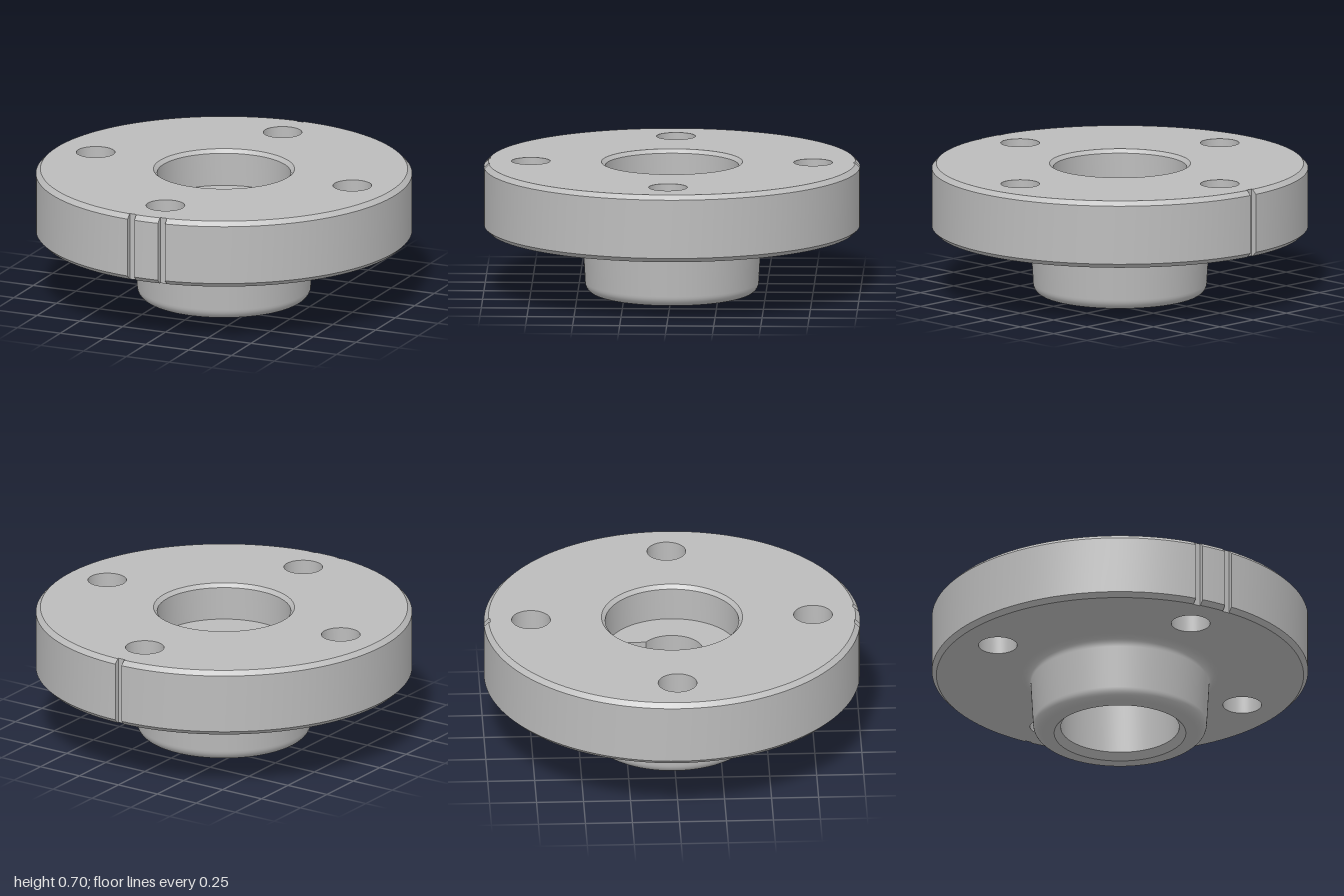
import * as THREE from 'three';
import { toCreasedNormals } from 'three/addons/utils/BufferGeometryUtils.js';

const TOP = 0.703, UNDER = 0.34;        // flange faces
const WEB_TOP = 0.505, WEB_UNDER = 0.33; // web inside the hub
const SEG = 128, V = (x, y) => new THREE.Vector2(x, y);

// Points on a circular arc, plan coordinates (x, -z), end included
function arc(cx, cy, r, a0, a1, n) {
  return Array.from({ length: n + 1 }, (_, i) => {
    const a = a0 + (a1 - a0) * i / n;
    return V(cx + r * Math.cos(a), cy + r * Math.sin(a));
  });
}
const circle = (cx, cy, r, n = SEG) => arc(cx, cy, r, 0, Math.PI * 2, n).slice(0, -1);

// Flat horizontal face with holes
function face(outline, holes, y, up) {
  const shape = new THREE.Shape(outline);
  shape.holes = holes.map(h => new THREE.Path(h));
  const g = new THREE.ShapeGeometry(shape).rotateX(-Math.PI / 2).translate(0, y, 0);
  if (!up) {
    g.setIndex(Array.from(g.index.array).reverse());
    g.computeVertexNormals();
  }
  return g;
}

// Wall through a stack of matching closed loops: [points, height]
function wall(loops) {
  const pos = [], idx = [], n = loops[0][0].length;
  for (const [pts, y] of loops) for (const p of pts) pos.push(p.x, y, -p.y);
  for (let k = 0; k < loops.length - 1; k++) for (let i = 0; i < n; i++) {
    const a = k * n + i, b = k * n + (i + 1) % n;
    idx.push(a, b, b + n, a, b + n, a + n);
  }
  const g = new THREE.BufferGeometry();
  g.setAttribute('position', new THREE.Float32BufferAttribute(pos, 3));
  g.setIndex(idx);
  return toCreasedNormals(g, 0.5);
}

const lathe = (pts, n = SEG) => toCreasedNormals(new THREE.LatheGeometry(pts, n), 0.5);

// Rim outline with two index grooves in front and one at the back
function rim(R) {
  const F = 0.967, w = 0.02, a = 0.069, b = 0.109, T = Math.PI * 2;
  const front = x => T - Math.acos(x / R);
  return [
    ...arc(0, 0, R, Math.acos(-w / R), front(-b), 64), V(-b, -F), V(-a, -F),
    ...arc(0, 0, R, front(-a), front(a), 6), V(a, -F), V(b, -F),
    ...arc(0, 0, R, front(b), T + Math.acos(w / R), 64), V(w, F), V(-w, F),
  ];
}

// Round bore with a rounded keyway towards the back
function keyhole() {
  const r = 0.165, k = 0.094, end = 0.266, c = 0.03, H = Math.PI / 2;
  return [
    ...arc(0, 0, r, Math.acos(-k / r), Math.PI * 2 + Math.acos(k / r), 64),
    ...arc(k - c, end - c, c, 0, H, 6),
    ...arc(c - k, end - c, c, H, Math.PI, 6),
  ];
}

export function createModel() {
  const group = new THREE.Group();
  const steel = new THREE.MeshStandardMaterial({ color: 0xbcbcbc });
  steel.name = 'steel grey';
  const add = (name, geometry) => {
    const m = new THREE.Mesh(geometry, steel);
    m.name = name;
    group.add(m);
    return m;
  };

  // Flange
  const boltR = 0.103;
  const centres = [[0.75, 0], [0, 0.75], [-0.75, 0], [0, -0.75]];
  const bolts = centres.map(([x, y]) => circle(x, y, boltR, 48));
  const inner = rim(0.976), outer = rim(1);
  add('flangeTop', face(inner, [circle(0, 0, 0.375), ...bolts], TOP, true));
  add('flangeUnderside', face(inner, [circle(0, 0, 0.525), ...bolts], UNDER, false));
  add('flangeRim', wall([[inner, UNDER], [outer, 0.364], [outer, TOP - 0.024], [inner, TOP]]));
  for (const [x, y] of centres) {
    add('boltHole', lathe([V(boltR, TOP), V(boltR, UNDER)], 48)).position.set(x, 0, -y);
  }

  // Chamfered recess in the top
  add('topRecess', lathe([V(0.375, TOP), V(0.355, TOP - 0.02), V(0.355, WEB_TOP)]));

  // Hub: bore, chamfer, rounded foot, drafted side and fillet into the flange
  add('hub', lathe([
    V(0.315, WEB_UNDER), V(0.315, 0.035), V(0.35, 0),
    ...arc(0.405, 0.057, 0.057, -Math.PI / 2, 0, 8),
    ...arc(0.527, 0.288, 0.052, Math.PI, Math.PI / 2, 8),
  ]));

  // Web with the keyed shaft hole
  const key = keyhole(), keyIn = [...key].reverse();
  add('webTop', face(circle(0, 0, 0.355), [key], WEB_TOP, true));
  add('webUnderside', face(circle(0, 0, 0.315), [key], WEB_UNDER, false));
  add('keyedBore', wall([[keyIn, WEB_UNDER], [keyIn, WEB_TOP]]));

  return group;
}
